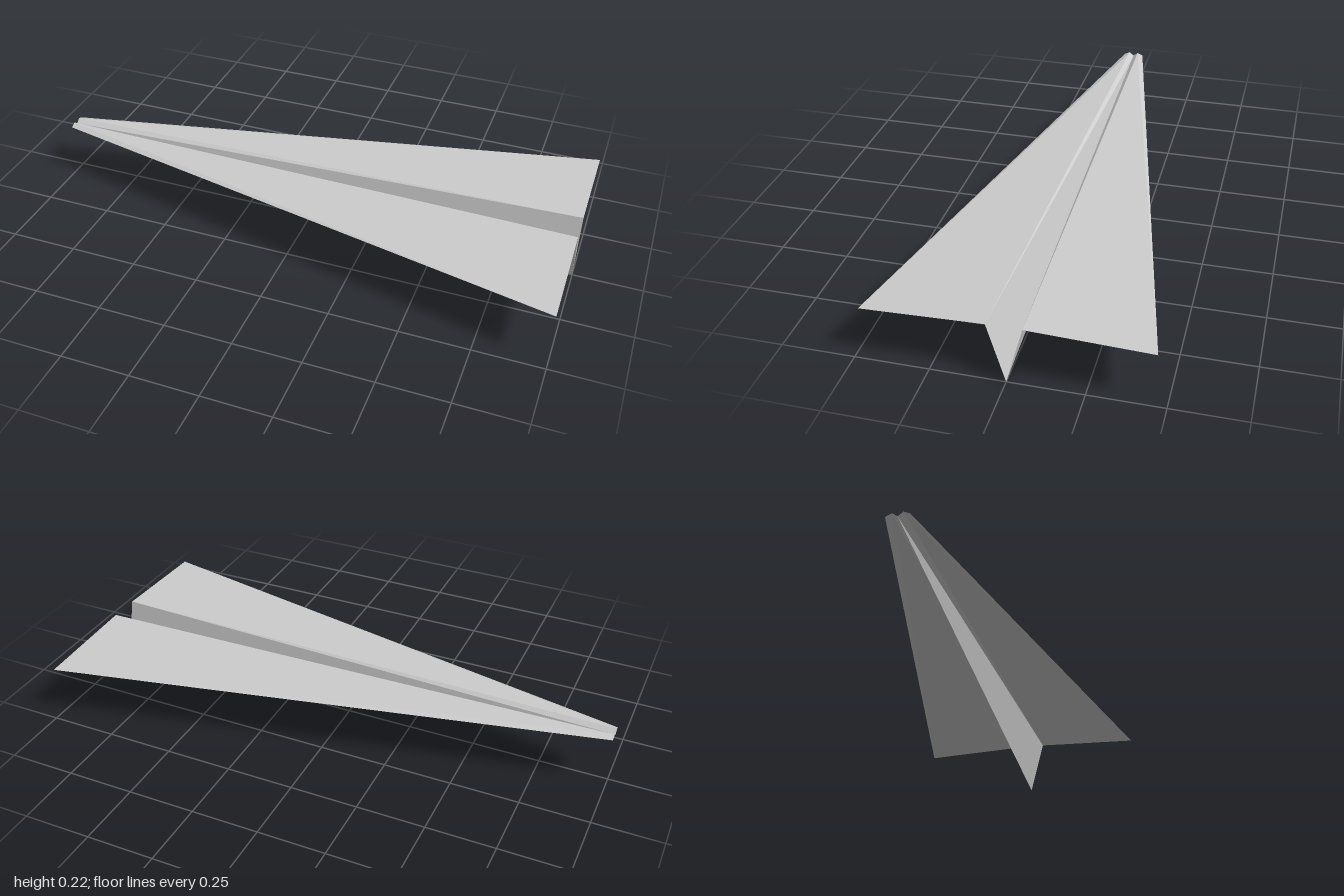
import * as THREE from 'three';

const paper = new THREE.MeshStandardMaterial({ color: 0xcccccc, side: THREE.DoubleSide });
paper.name = 'greyPaper';

// Flat four-cornered sheet, corners counter-clockwise from its upper face
function sheet(name, a, b, c, d) {
  const geometry = new THREE.BufferGeometry();
  geometry.setAttribute('position', new THREE.Float32BufferAttribute([a, b, c, a, c, d].flat(), 3));
  geometry.computeVertexNormals();
  const mesh = new THREE.Mesh(geometry, paper);
  mesh.name = name;
  return mesh;
}

export function createModel() {
  const group = new THREE.Group();
  group.name = 'paperPlane';

  // Crease points on one half: nose at -x, tail at +x
  const half = {
    keel: [[-1, 0.196, 0], [1, 0, 0]],
    fold: [[-1, 0.21, 0.018], [1, 0.215, 0.058]],
    tip: [[-1, 0.2, 0.04], [1, 0.2, 0.466]],
  };

  for (const [side, label] of [[1, 'front'], [-1, 'back']]) {
    const mirror = (line) => line.map(([x, y, z]) => [x, y, z * side]);
    // Strip between two creases, wound so its upper face points up on both halves
    const strip = (name, inner, outer) => {
      const [a, d] = mirror(inner);
      const [b, c] = mirror(outer);
      return side > 0 ? sheet(name, a, b, c, d) : sheet(name, a, d, c, b);
    };
    group.add(strip(label + 'BodyFold', half.keel, half.fold));
    group.add(strip(label + 'Wing', half.fold, half.tip));
  }
  return group;
}
